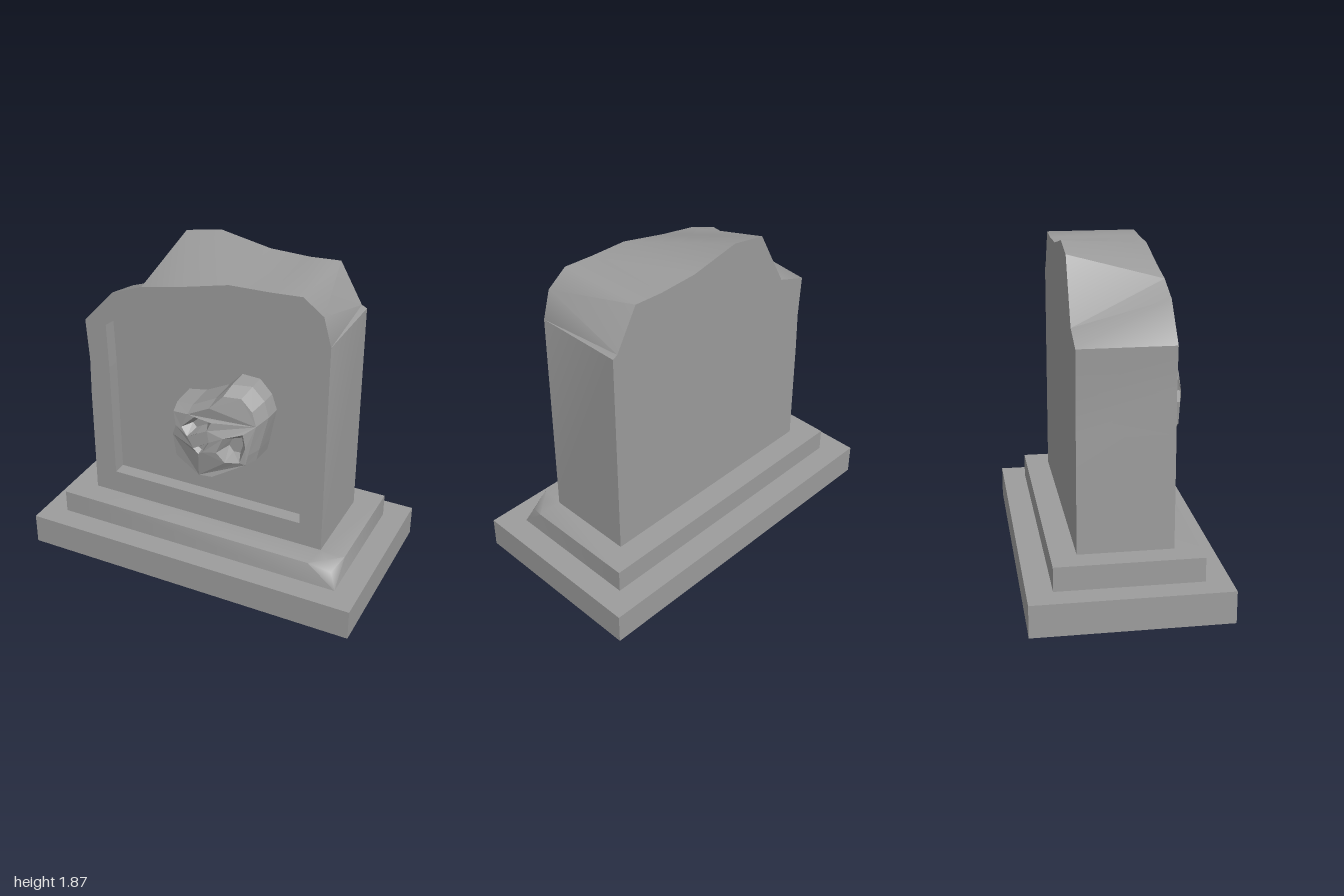
import * as THREE from 'three';
import { toCreasedNormals } from 'three/addons/utils/BufferGeometryUtils.js';

const material = new THREE.MeshStandardMaterial({ color: 0x9c9c9c, flatShading: true, side: THREE.DoubleSide });
const smoothMaterial = new THREE.MeshStandardMaterial({ color: 0x9c9c9c, side: THREE.DoubleSide });

// Skin a list of equal-length loops of [x, y, z] points
function loft(rings, closed = true) {
  const pos = [];
  const tri = (a, b, c) => {
    const [va, vb, vc] = [a, b, c].map((p) => new THREE.Vector3(...p));
    if (new THREE.Triangle(va, vb, vc).getArea() > 1e-7) pos.push(...a, ...b, ...c);
  };
  for (let r = 0; r + 1 < rings.length; r++) {
    const a = rings[r], b = rings[r + 1], n = a.length;
    for (let i = 0; i < (closed ? n : n - 1); i++) {
      const j = (i + 1) % n;
      tri(a[i], a[j], b[i]);
      tri(a[j], b[j], b[i]);
    }
  }
  const g = new THREE.BufferGeometry();
  g.setAttribute('position', new THREE.Float32BufferAttribute(pos, 3));
  g.computeVertexNormals();
  return g;
}

// Face filling an outline, with holes; z is given by a rule
function face(outline, holes, zAt, flip = false) {
  const v2 = (pts) => pts.map((p) => new THREE.Vector2(p[0], p[1]));
  const shape = new THREE.Shape(v2(outline));
  shape.holes = holes.map((h) => new THREE.Path(v2(h)));
  const g = new THREE.ShapeGeometry(shape);
  const p = g.attributes.position;
  for (let i = 0; i < p.count; i++) p.setZ(i, zAt(p.getX(i), p.getY(i)));
  if (flip) g.index.array.reverse();
  g.computeVertexNormals();
  return g;
}

const atZ = (pts, z) => pts.map(([x, y]) => [x, y, z]);
const scaled = (pts, s, cx, cy) => pts.map(([x, y]) => [cx + (x - cx) * s, cy + (y - cy) * s]);
const centre = (pts) => [0, 1].map((k) => pts.reduce((t, p) => t + p[k], 0) / pts.length);

// Rectangle loop whose front left corner is given as three points
function rect(x, y, back, front, corner) {
  const c = corner || [[x, y, front], [x, y, front], [x, y, front]];
  return [...c, [x, y, back], [-x, y, back], [-x, y, front]];
}

export function createModel() {
  const model = new THREE.Group();
  const add = (parent, name, geometry, mat = material) => {
    const mesh = new THREE.Mesh(geometry, mat);
    mesh.name = name;
    parent.add(mesh);
  };

  // Hollow plinth and step; one step corner is chipped
  add(model, 'plinth', loft([
    rect(1, 0, -0.54, 0.535), rect(1, 0.18, -0.54, 0.535), rect(0.863, 0.18, -0.4, 0.4),
  ]));
  const a = [0.7, 0.315, 0.4], b = [0.863, 0.315, 0.26];
  add(model, 'step', toCreasedNormals(loft([
    rect(0.863, 0.18, -0.4, 0.4),
    rect(0.863, 0.315, -0.4, 0.4, [a, [0.825, 0.268, 0.365], b]),
    rect(0.863, 0.315, -0.4, 0.4, [a, [0.78, 0.315, 0.33], b]),
    rect(0.72, 0.315, -0.26, 0.26),
  ]), 0.8), smoothMaterial);

  // Headstone: broken top, lower at the front on one side and at the back on the other
  const stone = new THREE.Group();
  stone.name = 'headstone';
  model.add(stone);
  const left = [[-0.735, 1.42], [-0.72, 1.18], [-0.725, 0.95], [-0.725, 0.315]];
  const front = [[0.72, 0.315], [0.72, 1.57], [0.675, 1.73], [0.56, 1.815], [0.38, 1.805],
    [0.15, 1.8], [-0.15, 1.73], [-0.365, 1.69], [-0.55, 1.62], ...left];
  const back = [[0.72, 0.315], [0.72, 1.57], [0.69, 1.585], [0.56, 1.815], [0.38, 1.805],
    [0.15, 1.812], [-0.15, 1.87], [-0.365, 1.83], [-0.55, 1.485], ...left];
  const recess = [[-0.59, 0.455], [0.587, 0.455], [0.587, 1.55], [0.555, 1.66], [0.485, 1.605], [0.385, 1.67],
    [0.15, 1.645], [-0.1, 1.605], [-0.31, 1.565], [-0.46, 1.515], [-0.603, 1.415], [-0.595, 1.15]];
  const floor = recess.map(([x, y], i) => [x, i === 6 ? y - 0.012 : y]);
  add(stone, 'stoneEdge', toCreasedNormals(loft([atZ(back, -0.26), atZ(front, 0.26)], false), 0.8), smoothMaterial);
  add(stone, 'stoneFront', face(front, [recess], () => 0.26));
  add(stone, 'stoneBack', face(back, [], () => -0.26, true));
  add(stone, 'recessEdge', loft([atZ(recess, 0.26), atZ(floor, 0.18)]));
  add(stone, 'recessFloor', face(floor, [], () => 0.18));

  // Tilted skull relief, domed towards the jaw
  const skull = new THREE.Group();
  skull.name = 'skull';
  model.add(skull);
  const dome = (x, y) => 0.45 - (x - 0.08) ** 2 - 0.7 * (y - 0.92) ** 2;
  const onDome = (pts, drop = 0) => pts.map(([x, y]) => [x, y, dome(x, y) - drop]);
  const outline = [[-0.13, 1.09], [-0.105, 1.01], [-0.13, 0.94], [-0.11, 0.79], [0.05, 0.695], [0.14, 0.705],
    [0.35, 0.83], [0.365, 0.9], [0.4, 1.09], [0.37, 1.18], [0.3, 1.255], [0.195, 1.26], [0.12, 1.18], [-0.02, 1.11]];
  const cheeks = scaled(outline, 0.98, 0.08, 0.92);
  const faceEdge = scaled(outline, 0.89, 0.03, 0.86);
  const sockets = {
    rightEye: [[-0.05, 1], [-0.01, 0.955], [0.05, 0.99], [0.11, 1.02], [0.13, 1.07], [0.03, 1.08]],
    leftEye: [[0.165, 0.9], [0.21, 0.84], [0.285, 0.845], [0.315, 0.94], [0.3, 1.02], [0.2, 0.99]],
    nose: [[0.03, 0.895], [0.06, 0.865], [0.085, 0.885], [0.125, 0.955]],
  };
  add(skull, 'cranium', loft([atZ(outline, 0.18), onDome(cheeks, 0.06), onDome(faceEdge)]));
  add(skull, 'skullFace', face(faceEdge, Object.values(sockets), dome));
  for (const [name, rim] of Object.entries(sockets)) {
    const c = centre(rim);
    const inner = scaled(rim, 0.55, ...c);
    const depth = dome(...c) - (name === 'nose' ? 0.03 : 0.07);
    add(skull, name + 'Socket', loft([onDome(rim), atZ(inner, depth)]));
    add(skull, name + 'SocketFloor', face(inner, [], () => depth));
  }
  return model;
}
